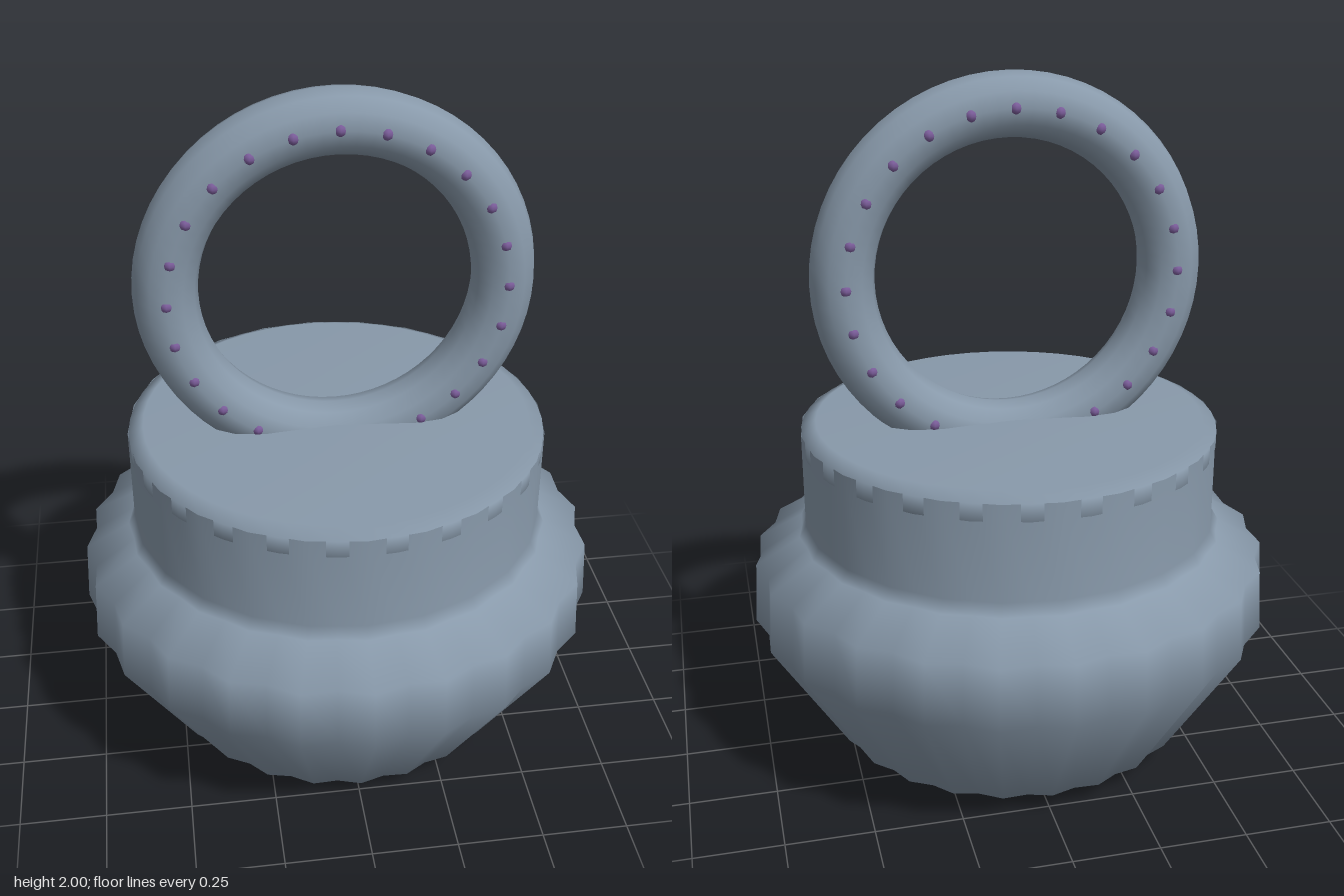
import * as THREE from 'three';
import { mergeVertices } from 'three/addons/utils/BufferGeometryUtils.js';

const slate = new THREE.MeshStandardMaterial({ color: 0x8899aa, side: THREE.DoubleSide });
slate.name = 'slate';
const purple = new THREE.MeshStandardMaterial({ color: 0x7a5c99 });
purple.name = 'purple';

const FLUTES = 24;

function addMesh(parent, name, geometry, material) {
  const mesh = new THREE.Mesh(geometry, material);
  mesh.name = name;
  parent.add(mesh);
  return mesh;
}

// Turned profile of [radius, height, flute depth]; every second column is pulled inwards
function flutedLathe(profile) {
  const points = profile.map(([r, y]) => new THREE.Vector2(r, y));
  let geometry = new THREE.LatheGeometry(points, FLUTES * 2);
  const pos = geometry.attributes.position;
  for (let i = 0; i < pos.count; i++) {
    const column = Math.floor(i / profile.length);
    const depth = profile[i % profile.length][2];
    const k = column % 2 ? 1 - depth : 1;
    pos.setX(i, pos.getX(i) * k);
    pos.setZ(i, pos.getZ(i) * k);
  }
  // weld the seam so the shading runs smoothly all round
  geometry.deleteAttribute('normal');
  geometry.deleteAttribute('uv');
  geometry = mergeVertices(geometry, 1e-4);
  geometry.computeVertexNormals();
  return geometry;
}

export function createModel() {
  const model = new THREE.Group();
  model.name = 'flutedPot';

  // Fluted belly, shoulder and neck
  addMesh(model, 'body', flutedLathe([
    [0, 0, 0],
    [0.54, 0.065, 0.03],
    [0.765, 0.43, 0.03],
    [0.755, 0.61, 0.03],
    [0.625, 0.685, 0.015],
    [0.605, 0.72, 0.008],
    [0.605, 1.0, 0.008],
  ]), slate);

  // Lid with a softly rounded rim, set into the neck
  addMesh(model, 'lid', new THREE.LatheGeometry([
    [0, 0.93], [0.58, 0.93], [0.602, 0.95], [0.602, 1.0], [0.56, 1.02], [0, 1.022],
  ].map(([r, y]) => new THREE.Vector2(r, y)), 48), slate);

  // Standing ring handle
  const handle = new THREE.Group();
  handle.name = 'handle';
  handle.position.y = 1.44;
  model.add(handle);
  addMesh(handle, 'ring', new THREE.TorusGeometry(0.47, 0.09, 12, 64), slate);

  // Small studs on both faces of the ring
  const studGeometry = new THREE.SphereGeometry(0.018, 8, 6);
  for (const side of [1, -1]) {
    for (let i = 0; i < 24; i++) {
      const a = (i / 24) * Math.PI * 2;
      const stud = addMesh(handle, 'stud', studGeometry, purple);
      stud.position.set(Math.cos(a) * 0.47, Math.sin(a) * 0.47, side * 0.078);
    }
  }

  return model;
}
